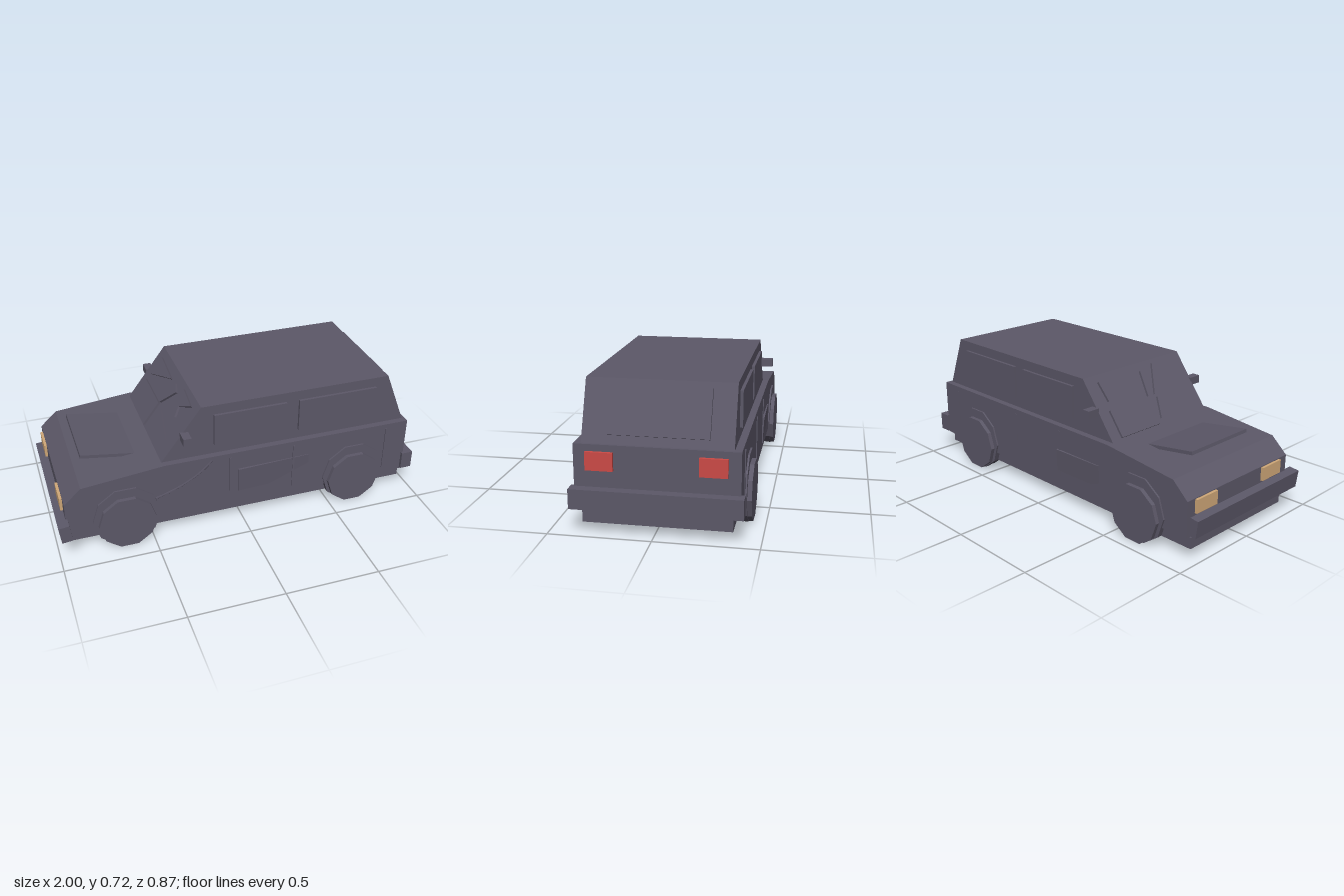
import * as THREE from 'three';

const mat = (name, color) => {
  const m = new THREE.MeshStandardMaterial({ color });
  m.name = name;
  return m;
};

export function createModel() {
  const car = new THREE.Group();
  car.name = 'wreckedWagon';
  const paint = mat('dull grey paint', 0x5c5868);
  const red = mat('tail light red', 0xcc4a46);
  const amber = mat('headlight tan', 0xd0a878);
  const MID = -0.015; // the shell sits slightly off the centre line

  const add = (name, geo, material = paint, parent = car) => {
    const mesh = new THREE.Mesh(geo, material);
    mesh.name = name;
    parent.add(mesh);
    return mesh;
  };
  // box given by its min and max on each axis
  const block = (name, [x0, x1], [y0, y1], [z0, z1], material) => {
    const m = add(name, new THREE.BoxGeometry(x1 - x0, y1 - y0, z1 - z0), material);
    m.position.set((x0 + x1) / 2, (y0 + y1) / 2, (z0 + z1) / 2);
    return m;
  };
  const shape = (pts) => new THREE.Shape(pts.map(([x, y]) => new THREE.Vector2(x, y)));
  const extrude = (pts, depth) =>
    new THREE.ExtrudeGeometry(shape(pts), { depth, bevelEnabled: false });

  // shell: side profiles extruded across the width
  add('lowerBody', extrude([[-0.95, 0.12], [0.95, 0.12], [0.95, 0.436], [-0.43, 0.436],
    [-0.86, 0.392], [-0.95, 0.31]], 0.78)).position.z = MID - 0.39;
  add('cabin', extrude([[-0.44, 0.43], [0.937, 0.43], [0.82, 0.72], [-0.22, 0.72]], 0.71))
    .position.z = MID - 0.355;
  block('floorPan', [-0.95, 0.95], [0.053, 0.113], [-0.37, 0.34]);

  // bent bonnet, propped up at the nose
  const bonnet = add('bonnet', new THREE.BoxGeometry(0.31, 0.018, 0.425));
  bonnet.position.set(-0.67, 0.435, -0.0175);
  bonnet.rotation.z = -0.15;

  // bumpers, the front one knocked askew
  const front = add('frontBumper', new THREE.BoxGeometry(0.056, 0.094, 0.815));
  front.position.set(-0.963, 0.173, 0.027);
  front.rotation.z = 0.12;
  block('rearBumper', [0.937, 1], [0.132, 0.23], [-0.423, 0.392]);

  // lights
  for (const z of [-0.275, 0.235])
    block('headlight', [-0.964, -0.945], [0.235, 0.306], [z - 0.075, z + 0.075], amber);
  for (const z of [-0.28, 0.251])
    block('tailLight', [0.945, 0.966], [0.314, 0.403], [z - 0.066, z + 0.066], red);

  // ten-sided wheels inside slightly larger arches
  const disc = (name, apothem, x, z0, z1) => {
    const r = apothem / Math.cos(Math.PI / 10);
    const geo = new THREE.CylinderGeometry(r, r, z1 - z0, 10, 1, false, Math.PI / 10)
      .toNonIndexed();
    geo.rotateX(Math.PI / 2);
    geo.computeVertexNormals();
    add(name, geo).position.set(x, apothem, (z0 + z1) / 2);
  };
  for (const x of [-0.637, 0.637]) {
    for (const s of [-1, 1]) {
      const span = (a, b) => (s > 0 ? [MID + a, MID + b] : [MID - b, MID - a]);
      disc('wheel', 0.145, x, ...span(0.325, 0.421));
      disc('wheelArch', 0.17, x, ...span(0.37, 0.399));
    }
  }

  // side windows, mirrors and door seams
  for (const s of [-1, 1]) {
    const span = (a, b) => (s > 0 ? [MID + a, MID + b] : [MID - b, MID - a]);
    block('frontSideWindow', [-0.155, 0.24], [0.49, 0.668], span(0.35, 0.37));
    block('rearSideWindow', [0.31, 0.75], [0.49, 0.668], span(0.35, 0.37));
    block('wingMirror', [-0.333, -0.29], [0.55, 0.592], span(0.35, 0.421));
    for (const x of [-0.075, 0.28, 0.825])
      block('doorSeam', [x - 0.005, x + 0.005], [0.155, 0.41], span(0.385, 0.395));
  }

  // crumpled door plates, leaning out of the sides
  const leftDent = add('leftDoorDent', new THREE.BoxGeometry(0.4, 0.14, 0.012));
  leftDent.position.set(0.17, 0.265, 0.372);
  leftDent.rotation.set(0.05, 0.02, 0.02);
  const rightDent = add('rightDoorDent', new THREE.BoxGeometry(0.31, 0.12, 0.012));
  rightDent.position.set(-0.215, 0.245, -0.404);
  rightDent.rotation.set(-0.05, 0.02, 0);

  // long curved scratch on the left wing
  const scratch = new THREE.QuadraticBezierCurve3(
    new THREE.Vector3(-0.48, 0.245, 0.375),
    new THREE.Vector3(-0.27, 0.3, 0.375),
    new THREE.Vector3(-0.175, 0.415, 0.375));
  add('wingScratch', new THREE.TubeGeometry(scratch, 10, 0.006, 4));

  // rear window lying on the sloped tailgate
  const rear = add('rearWindow', new THREE.BoxGeometry(0.02, 0.232, 0.488));
  rear.position.set(0.88, 0.585, MID);
  rear.rotation.z = 0.384;

  // shattered windscreen: shards given as (x, z) seen from above, laid on the slope
  const screen = new THREE.Group();
  screen.name = 'windscreen';
  const up = new THREE.Vector3(0.22, 0.29, 0).normalize();
  const side = new THREE.Vector3(0, 0, 1);
  screen.applyMatrix4(new THREE.Matrix4()
    .makeBasis(side, up, side.clone().cross(up)).setPosition(-0.44, 0.43, 0));
  car.add(screen);
  const shards = [
    [[-0.43, -0.305], [-0.34, -0.305], [-0.34, -0.025], [-0.43, -0.025]],
    [[-0.312, -0.285], [-0.245, -0.295], [-0.255, -0.06]],
    [[-0.415, 0], [-0.345, 0.04], [-0.38, 0.255]],
    [[-0.335, -0.02], [-0.25, 0.005], [-0.265, 0.065]],
    [[-0.335, 0.03], [-0.235, 0.11], [-0.245, 0.27], [-0.282, 0.17], [-0.312, 0.2]],
  ];
  for (const pts of shards)
    add('glassShard', extrude(pts.map(([x, z]) => [z, (x + 0.44) / up.x]), 0.012), paint, screen);

  return car;
}
